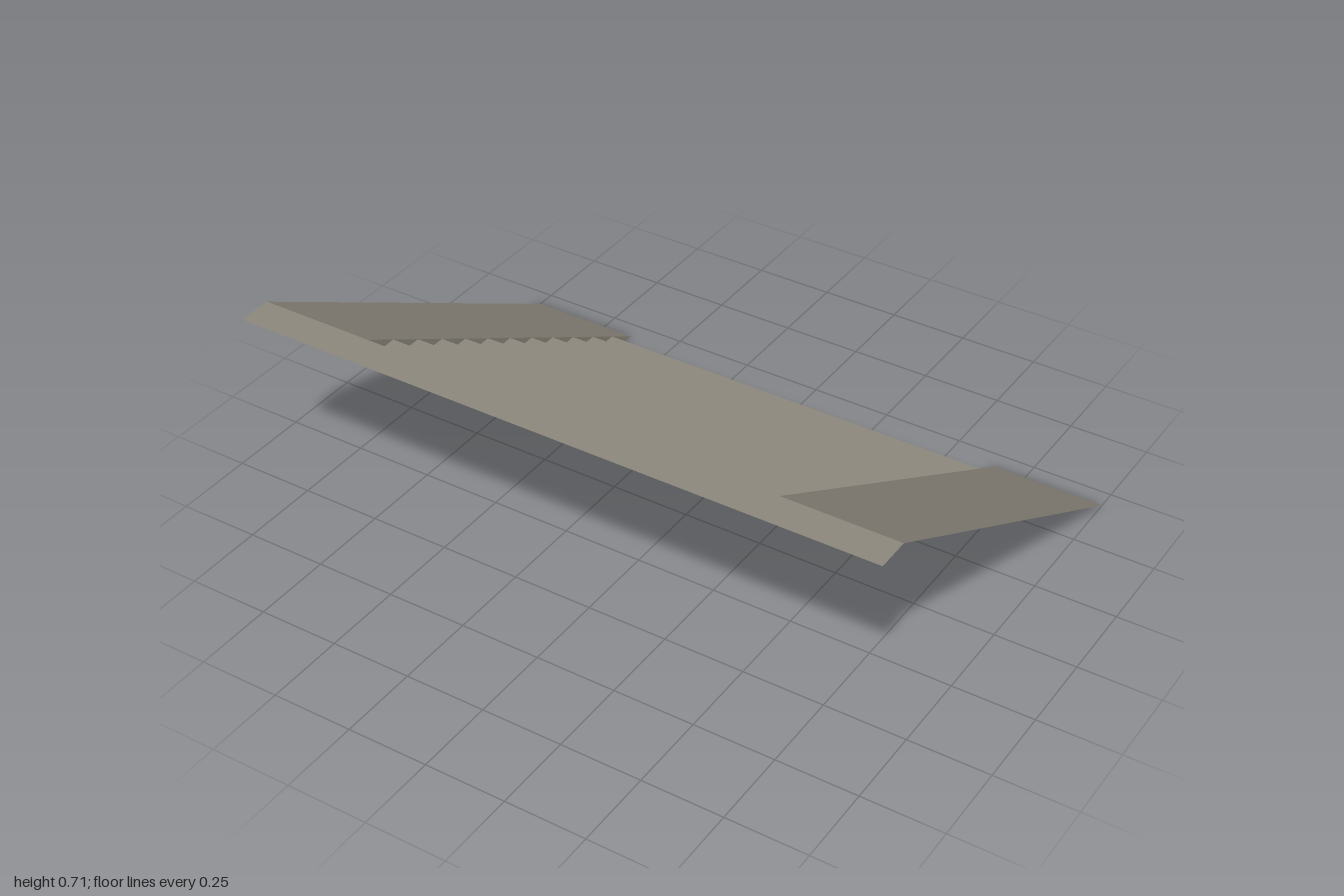
import * as THREE from 'three';

const STEPS = 12;
const TOP = 0.708;         // height of the upper floor
const FRONT = 0.69;        // half depth
const LIP = 0.106;         // depth of the landing and of each tread
const INNER = 0.648;       // half width of the stairs
const OUTER = 1;

// Sheet swept in x from x0 to x1 along a profile of [z, y] points
function ribbon(profile, x0, x1) {
  const pos = [];
  for (let i = 0; i < profile.length - 1; i++) {
    const [z0, y0] = profile[i], [z1, y1] = profile[i + 1];
    const a = [x0, y0, z0], b = [x1, y0, z0], c = [x1, y1, z1], d = [x0, y1, z1];
    pos.push(...a, ...d, ...c, ...a, ...c, ...b);
  }
  const g = new THREE.BufferGeometry();
  g.setAttribute('position', new THREE.Float32BufferAttribute(pos, 3));
  g.computeVertexNormals();
  return g;
}

export function createModel() {
  const group = new THREE.Group();
  const stone = new THREE.MeshStandardMaterial({ color: 0x8c887c, side: THREE.DoubleSide });
  stone.name = 'warm grey stone';
  const add = (name, geometry) => {
    const mesh = new THREE.Mesh(geometry, stone);
    mesh.name = name;
    group.add(mesh);
  };

  // Zigzag of risers and treads, climbing towards the front
  const rise = TOP / STEPS, run = (2 * FRONT - 2 * LIP) / (STEPS - 1);
  const zigzag = [];
  for (let i = 0; i < STEPS; i++) {
    const z = -FRONT + LIP + i * run;
    zigzag.push([z, i * rise], [z, (i + 1) * rise]);
  }
  add('steps', ribbon(zigzag, -INNER, INNER));

  // Landing strip across the whole top
  add('landing', ribbon([[FRONT - LIP, TOP], [FRONT, TOP]], -OUTER, OUTER));

  // Sloping ramps beside the steps
  const slope = [[-FRONT, 0], [FRONT - LIP, TOP]];
  add('leftRamp', ribbon(slope, INNER, OUTER));
  add('rightRamp', ribbon(slope, -OUTER, -INNER));

  // Slanted walls between the steps and the ramps
  const outline = new THREE.Shape([
    new THREE.Vector2(-FRONT, 0),
    new THREE.Vector2(-FRONT + LIP, 0),
    new THREE.Vector2(FRONT, TOP),
    new THREE.Vector2(FRONT - LIP, TOP),
  ]);
  for (const [name, side] of [['leftWall', 1], ['rightWall', -1]]) {
    const wall = new THREE.ShapeGeometry(outline);
    wall.rotateY(-Math.PI / 2);
    wall.translate(side * INNER, 0, 0);
    add(name, wall);
  }

  return group;
}
